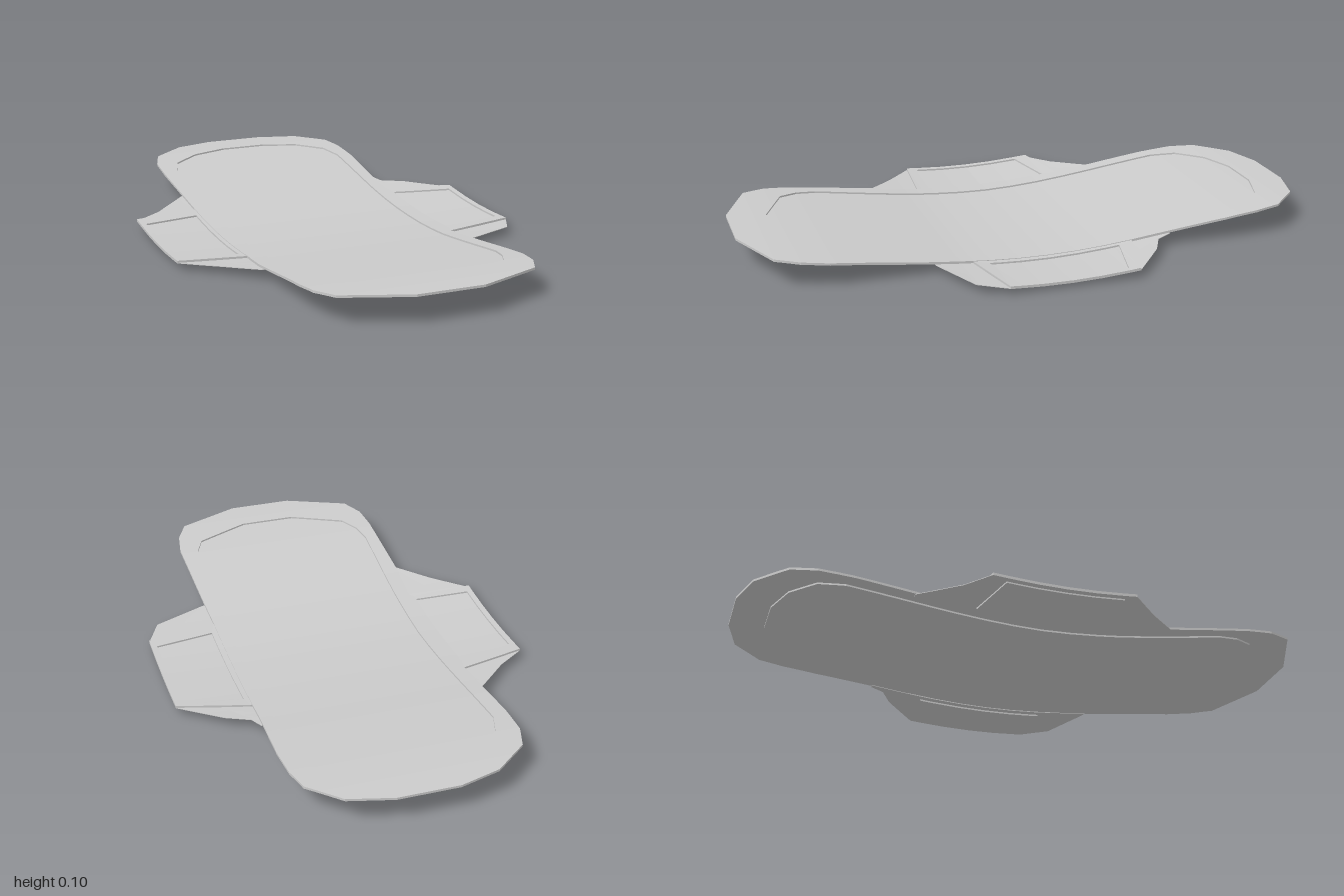
import * as THREE from 'three';

// Piecewise-linear lookup in rows of [z, xMin, xMax]
function span(rows, z) {
  if (z <= rows[0][0]) return rows[0].slice(1);
  for (let i = 1; i < rows.length; i++) {
    const [z0, a0, b0] = rows[i - 1], [z1, a1, b1] = rows[i];
    if (z <= z1) {
      const t = (z - z0) / (z1 - z0);
      return [a0 + (a1 - a0) * t, b0 + (b1 - b0) * t];
    }
  }
  return rows[rows.length - 1].slice(1);
}

// Lengthwise wave of the whole pad, with the side flaps rising slightly outward
function height(x, z) {
  const lift = 0.04 * Math.max(0, Math.abs(x) - 0.4);
  return 0.062 - 0.042 * Math.cos(Math.PI * (z - 0.03)) + lift;
}

// Thin sheet lofted along z; the inner outline is pressed down by `depth`
function sheet(name, outer, inner, { top = 0, thick = 0.008, depth = 0.006 }, material) {
  const zMin = outer[0][0], zMax = outer[outer.length - 1][0];
  const zs = [...outer, ...(inner || [])].map((r) => r[0]);
  for (let z = -0.9; z < 0.95; z += 0.1) if (z > zMin && z < zMax) zs.push(z);
  const sorted = [...new Set(zs.map((z) => +z.toFixed(3)))].sort((a, b) => a - b);

  const stations = [];
  const i0 = inner && inner[0][0], i1 = inner && inner[inner.length - 1][0];
  for (const z of sorted) {
    const pressed = inner && z >= i0 && z <= i1;
    if (!pressed) stations.push([z, 0]);
    else if (z === i0) stations.push([z, 0], [z, depth]);
    else if (z === i1) stations.push([z, depth], [z, 0]);
    else stations.push([z, depth]);
  }

  const pos = [], idx = [], n = 12;
  for (const [z, d] of stations) {
    const [oL, oR] = span(outer, z);
    const mid = (oL + oR) / 2;
    const [iL, iR] = (inner ? span(inner, z) : [mid, mid])
      .map((x) => Math.min(oR, Math.max(oL, x)));
    const upper = [[oL, 0], [iL, 0], [iL, -d], [iR, -d], [iR, 0], [oR, 0]];
    const lower = upper.map(([x, y]) => [x, y - thick]).reverse();
    for (const [x, y] of [...upper, ...lower]) pos.push(x, height(x, z) + top + y, z);
  }
  for (let j = 0; j < stations.length - 1; j++) {
    for (let i = 0; i < n; i++) {
      const a = j * n + i, b = j * n + (i + 1) % n;
      idx.push(a, a + n, b + n, a, b + n, b);
    }
  }
  // End caps
  const last = (stations.length - 1) * n;
  for (let i = 1; i < n - 1; i++) {
    idx.push(0, i, i + 1, last, last + i + 1, last + i);
  }
  const geometry = new THREE.BufferGeometry();
  geometry.setAttribute('position', new THREE.Float32BufferAttribute(pos, 3));
  geometry.setIndex(idx);
  geometry.computeVertexNormals();
  const mesh = new THREE.Mesh(geometry, material);
  mesh.name = name;
  return mesh;
}

// Rows for a side flap: [z, outward reach] from a fixed inner edge
const flapRows = (side, inner, rows) => rows.map(([z, reach]) =>
  side > 0 ? [z, inner, reach] : [z, -reach, -inner]);

export function createModel() {
  const group = new THREE.Group();
  group.name = 'pad';
  const material = new THREE.MeshStandardMaterial({ color: 0xcccccc, flatShading: true });

  // Main body: rounded rim around a pressed centre
  const bodyOutline = [
    [-1, -0.1, 0.11], [-0.96, -0.24, 0.26], [-0.86, -0.36, 0.36], [-0.77, -0.39, 0.38],
    [-0.65, -0.395, 0.385], [-0.4, -0.39, 0.375], [0, -0.385, 0.37], [0.26, -0.385, 0.37],
    [0.4, -0.395, 0.375], [0.74, -0.39, 0.385], [0.83, -0.38, 0.37], [0.91, -0.34, 0.33],
    [1, -0.12, 0.11],
  ];
  const centreOutline = [
    [-0.88, -0.08, 0.09], [-0.84, -0.21, 0.22], [-0.76, -0.31, 0.31], [-0.67, -0.34, 0.335],
    [-0.3, -0.335, 0.33], [0, -0.33, 0.33], [0.3, -0.335, 0.325], [0.65, -0.345, 0.335],
    [0.72, -0.33, 0.32], [0.785, -0.29, 0.29], [0.865, -0.1, 0.1],
  ];
  group.add(sheet('body', bodyOutline, centreOutline, {}, material));

  // Side flaps: a thin skirt, and a thicker frame with a pressed panel
  const flaps = [
    {
      side: 1, label: 'left', edge: 0.365,
      skirt: [[-0.44, 0.38], [-0.39, 0.4], [-0.35, 0.48], [-0.235, 0.62], [0.21, 0.62],
        [0.31, 0.57], [0.39, 0.38]],
      frame: [[-0.3, 0.38], [-0.235, 0.62], [0.21, 0.62], [0.26, 0.37]],
      panel: [[-0.25, 0.39], [-0.2, 0.6], [0.17, 0.6], [0.21, 0.39]],
    },
    {
      side: -1, label: 'right', edge: 0.375,
      skirt: [[-0.45, 0.39], [-0.32, 0.52], [-0.25, 0.62], [0.235, 0.62], [0.34, 0.5],
        [0.44, 0.4]],
      frame: [[-0.3, 0.385], [-0.25, 0.62], [0.235, 0.62], [0.255, 0.38]],
      panel: [[-0.245, 0.4], [-0.2, 0.6], [0.2, 0.6], [0.215, 0.4]],
    },
  ];
  for (const { side, label, edge, skirt, frame, panel } of flaps) {
    const inner = panel[0][1];
    group.add(
      sheet(`${label}FlapSkirt`, flapRows(side, edge, skirt), null,
        { top: -0.009, thick: 0.002 }, material),
      sheet(`${label}FlapFrame`, flapRows(side, edge, frame), flapRows(side, inner, panel),
        { top: -0.002, thick: 0.008 }, material),
    );
  }

  // Rest the lowest point on the ground
  const box = new THREE.Box3().setFromObject(group);
  for (const mesh of group.children) mesh.geometry.translate(0, -box.min.y, 0);
  return group;
}
